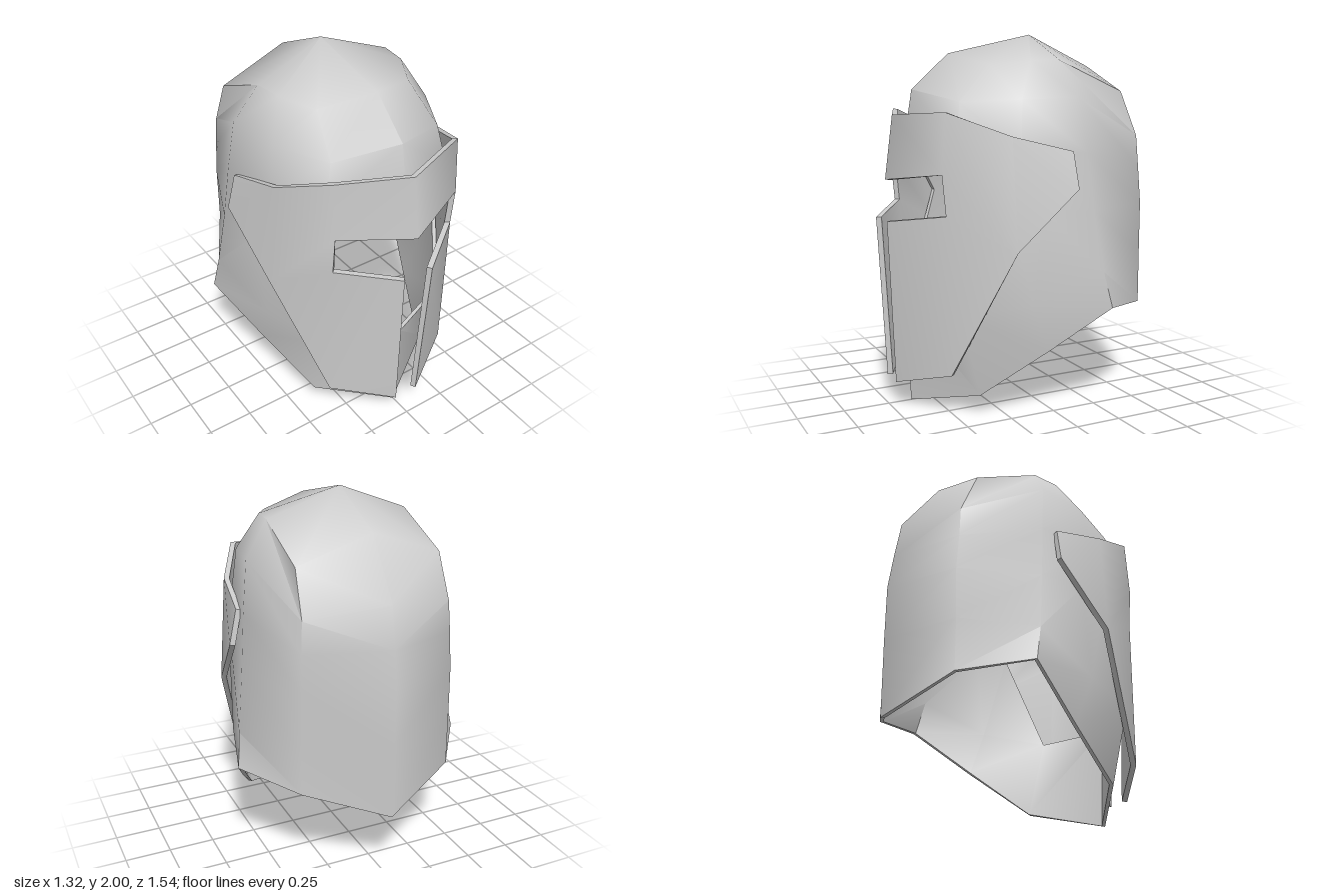
import * as THREE from 'three';
import { toCreasedNormals } from 'three/addons/utils/BufferGeometryUtils.js';

// Mirrors a half surface (x >= 0) and thickens it inward into a closed plate.
function mirroredPlate(points, halfFaces, thickness) {
  const verts = points.map(p => new THREE.Vector3(...p));
  const twin = points.map((p, i) => {
    if (p[0] === 0) return i;
    verts.push(new THREE.Vector3(-p[0], p[1], p[2]));
    return verts.length - 1;
  });
  const faces = [];
  for (const f of halfFaces) {
    for (let i = 1; i < f.length - 1; i++) {
      const t = [f[0], f[i], f[i + 1]];
      faces.push(t, [twin[t[0]], twin[t[2]], twin[t[1]]]);
    }
  }

  // inner skin: each corner moved against its averaged normal
  const normals = verts.map(() => new THREE.Vector3());
  const edges = new Set();
  for (const [a, b, c] of faces) {
    const n = verts[b].clone().sub(verts[a]).cross(verts[c].clone().sub(verts[a]));
    for (const i of [a, b, c]) normals[i].add(n);
    edges.add(`${a},${b}`).add(`${b},${c}`).add(`${c},${a}`);
  }
  const inner = verts.map((v, i) => v.clone().addScaledVector(normals[i].normalize(), -thickness));

  const out = [];
  const tri = (...vs) => vs.forEach(v => out.push(v.x, v.y, v.z));
  for (const [a, b, c] of faces) {
    tri(verts[a], verts[b], verts[c]);
    tri(inner[a], inner[c], inner[b]);
  }
  // rim walls along every open edge
  for (const e of edges) {
    const [a, b] = e.split(',').map(Number);
    if (edges.has(`${b},${a}`)) continue;
    tri(verts[b], verts[a], inner[a]);
    tri(verts[b], inner[a], inner[b]);
  }
  const geo = new THREE.BufferGeometry();
  geo.setAttribute('position', new THREE.Float32BufferAttribute(out, 3));
  return toCreasedNormals(geo, 0.87);
}

// Domed shell: rows from crown to rim, columns from front centre to back centre.
function shellGeometry() {
  const rows = [
    [[0, 1.89, .38], [.28, 1.83, .27], [.38, 1.85, .08], [.4, 1.85, -.08], [.4, 1.69, -.46], [0, 1.83, -.49]],
    [[0, 1.70, .59], [.33, 1.64, .46], [.48, 1.65, .18], [.53, 1.66, -.12], [.41, 1.45, -.56], [0, 1.52, -.71]],
    [[0, 1.40, .64], [.38, 1.42, .49], [.51, 1.40, .20], [.565, 1.38, -.15], [.42, 1.28, -.57], [0, 1.30, -.745]],
    [[0, 1.10, .65], [.51, 1.10, .28], [.555, 1.10, .10], [.595, 1.08, -.18], [.425, 1.08, -.585], [0, 1.11, -.77]],
    [[0, .55, .65], [.40, .55, .49], [.55, .60, .15], [.635, .76, -.22], [.43, .80, -.58], [0, .80, -.768]],
    [[0, 0, .62], [.39, .11, .38], [.53, .34, .05], [.66, .57, -.26], [.43, .52, -.58], [0, .38, -.76]],
  ];
  const cols = 6;
  const points = [...rows.flat(), [0, 2, -.11]];
  const crown = points.length - 1;
  const faces = [];
  for (let c = 0; c < cols - 1; c++) {
    faces.push([crown, c, c + 1]);
    for (let r = 0; r < rows.length - 1; r++) {
      if (c === 0 && (r === 2 || r === 3)) continue; // face opening
      const i = r * cols + c;
      faces.push([i, i + cols, i + cols + 1, i + 1]);
    }
  }
  return mirroredPlate(points, faces, 0.022);
}

// Face plate with a T-shaped opening: eye slot and nose slit.
function visorGeometry() {
  const corners = {
    browMid: [0, 1.57, .70], browSide: [.385, 1.59, .56], temple: [.53, 1.47, .26],
    rearTop: [.575, 1.39, -.065], rearLow: [.62, 1.2, -.075], cheek: [.575, .89, .25],
    jaw: [.39, .24, .54], chin: [.07, .14, .73], slitTop: [.09, 1.02, .77],
    eyeLow: [.385, 1.07, .56], eyeHigh: [.385, 1.28, .58], slotMid: [0, 1.23, .745],
  };
  const names = Object.keys(corners);
  const faces = [
    'browMid slotMid eyeHigh browSide',
    'browSide eyeHigh cheek', 'browSide cheek temple',
    'eyeHigh eyeLow cheek', 'eyeLow jaw cheek',
    'temple cheek rearLow rearTop',
    'slitTop chin jaw eyeLow',
  ].map(f => f.split(' ').map(n => names.indexOf(n)));
  return mirroredPlate(Object.values(corners), faces, 0.03);
}

export function createModel() {
  const group = new THREE.Group();
  group.name = 'helmet';
  const grey = new THREE.MeshStandardMaterial({ color: 0xcccccc });
  grey.name = 'light grey';
  const add = (name, geometry) => {
    const mesh = new THREE.Mesh(geometry, grey);
    mesh.name = name;
    group.add(mesh);
  };
  add('shell', shellGeometry());
  add('visor', visorGeometry());
  return group;
}
